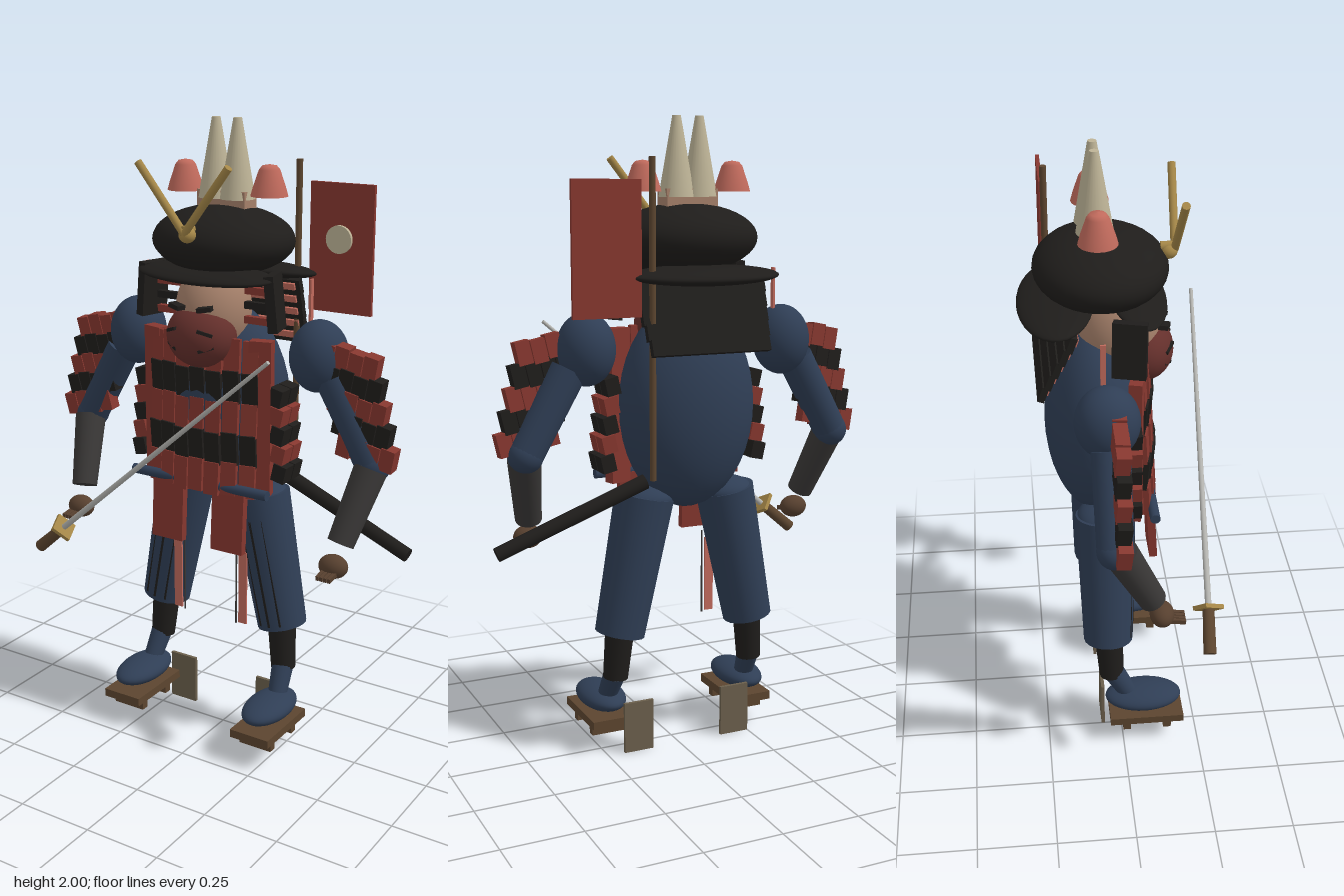
import * as THREE from 'three';

const C = { blue: 0x2f3e55, red: 0x86372f, black: 0x1f1d1b, wood: 0x5c452f, panel: 0x6b5f4c, skin: 0xa5806a,
  mask: 0x65302c, gold: 0xa58748, cream: 0xbdb396, coral: 0xc06a5c, glove: 0x3a3837, hand: 0x57402f, steel: 0xb4b4b0 };
const mats = {};
const mat = (c) => (mats[c] ??= new THREE.MeshStandardMaterial({ color: C[c] }));
const V = (a) => new THREE.Vector3(...a);

export function createModel() {
  const model = new THREE.Group();
  const body = new THREE.Group();
  body.name = 'body';
  body.position.x = -0.028;
  model.add(body);

  const add = (name, geo, color, pos, rot = [0, 0, 0], parent = body) => {
    const m = new THREE.Mesh(geo, mat(color));
    m.name = name;
    m.position.set(...pos);
    m.rotation.set(...rot);
    parent.add(m);
    return m;
  };
  const box = (name, color, pos, size, rot, parent) =>
    add(name, new THREE.BoxGeometry(...size), color, pos, rot, parent);
  const ball = (name, color, pos, r, rot) =>
    add(name, new THREE.SphereGeometry(1, 32, 20).scale(...r), color, pos, rot);
  // tapered rod from a to b
  const rod = (name, color, a, b, ra, rb = ra, parent = body) => {
    const d = V(b).sub(V(a));
    const m = add(name, new THREE.CylinderGeometry(rb, ra, d.length(), 20), color,
      V(a).add(V(b)).multiplyScalar(0.5).toArray(), [0, 0, 0], parent);
    m.quaternion.setFromUnitVectors(new THREE.Vector3(0, 1, 0), d.normalize());
    return m;
  };
  const rowColor = (i) => (i % 2 ? 'black' : 'red');

  // torso and belt
  ball('torso', 'blue', [0, 1.12, -0.055], [0.22, 0.325, 0.167]);
  rod('belt', 'blue', [-0.25, 0.89, 0.1], [0.25, 0.89, 0.1], 0.016);

  // chest armour: five overlapping rows of slats on a shallow arc
  for (let row = 0; row < 5; row++) {
    for (let i = -3; i <= 3; i++) {
      const x = i * 0.056;
      box('chestSlat', rowColor(row), [x, 1.31 - row * 0.097 - Math.abs(i % 2) * 0.006, 0.095 + row * 0.005 - x * x * 1.1],
        [0.051, 0.105, 0.018], [row % 2 ? 0.08 : -0.06, i * 0.08, 0]);
    }
  }

  // head and face mask
  ball('head', 'skin', [0, 1.43, 0.01], [0.115, 0.15, 0.125]);
  ball('faceMask', 'mask', [0, 1.36, 0.08], [0.113, 0.1, 0.095]);

  // helmet bowl with front visor and rear flange
  ball('helmetBowl', 'black', [0, 1.637, -0.045], [0.228, 0.106, 0.2]);
  ball('visor', 'black', [0, 1.545, 0.06], [0.24, 0.022, 0.09], [0.15, 0, 0]);
  ball('rearFlange', 'black', [0, 1.53, -0.18], [0.248, 0.028, 0.115], [-0.1, 0, 0]);
  for (let i = 0; i < 5; i++) {
    const y = 1.495 - i * 0.043, z = -0.145 - i * 0.021;
    box('neckGuardRow', 'black', [0, y, z], [0.44 - i * 0.012, 0.05, 0.02], [0.35, 0, 0]);
    box('neckGuardLining', 'coral', [0, y, z + 0.014], [0.41 - i * 0.012, 0.022, 0.008], [0.35, 0, 0]);
  }

  // crown of horns and gold crest
  box('crownBase', 'skin', [0, 1.755, -0.063], [0.17, 0.06, 0.07]);
  ball('crestKnob', 'gold', [0, 1.675, 0.155], [0.026, 0.024, 0.026]);
  rod('crestStem', 'gold', [0, 1.69, 0.13], [0, 1.69, 0.18], 0.014);

  for (const s of [-1, 1]) {
    const X = (x, y, z) => [s * x, y, z];

    // helmet side parts
    box('cheekFlap', 'black', X(0.222, 1.475, 0.02), [0.03, 0.17, 0.1], [0, s * 0.25, s * 0.1]);
    for (let i = 0; i < 3; i++)
      box('cheekLacing', rowColor(i), X(0.16, 1.5 - i * 0.045, 0.01), [0.09, 0.022, 0.02]);
    add('horn', new THREE.CylinderGeometry(0.013, 0.055, 0.24, 24), 'cream', X(0.038, 1.88, -0.063));
    const knob = [[0.057, 0], [0.05, 0.025], [0.032, 0.078], [0.022, 0.09], [0, 0.094]];
    add('sideKnob', new THREE.LatheGeometry(knob.map((p) => new THREE.Vector2(...p)), 24), 'coral', X(0.15, 1.775, -0.063))
      .material.side = THREE.DoubleSide;
    rod('crestProng', 'gold', X(0, 1.68, 0.172), X(0.157, 1.88, 0.178), 0.012);

    // mask markings
    box('eye', 'black', X(0.05, 1.455, 0.14), [0.045, 0.014, 0.03], [0, s * 0.3, s * 0.15]);
    for (let i = 0; i < 2; i++)
      box('maskSlit', 'black', X(0.058, 1.385 - i * 0.05, 0.153 - i * 0.006), [0.05, 0.01, 0.016],
        [0, s * 0.5, s * (i ? 0.3 : -0.3)]);

    // breastplate sides
    box('sidePanel', 'red', X(0.193, 1.115, 0.045), [0.07, 0.49, 0.04], [0, s * 0.25, 0]);
    for (let i = 0; i < 5; i++)
      for (let j = 0; j < 2; j++)
        box('flankSlat', rowColor(i + 1), X(0.245 + i * 0.004, 1.19 - i * 0.06, 0.03 - j * 0.055),
          [0.045, 0.055, 0.05], [0, 0, s * -0.22]);
    box('shoulderStrap', 'coral', X(0.3, 1.38, -0.063), [0.007, 0.32, 0.016]);
    box('frontTasset', 'red', X(0.112, 0.785, 0.1), [0.115, 0.21, 0.025], [-0.06, 0, 0]);

    // arm
    ball('shoulder', 'blue', X(0.335, 1.31, -0.055), [0.09, 0.112, 0.096]);
    rod('upperArm', 'blue', X(0.39, 1.25, -0.05), X(0.53, 1.0, -0.05), 0.058, 0.054);
    ball('elbow', 'blue', X(0.53, 1.0, -0.05), [0.055, 0.055, 0.055]);
    rod('forearm', 'glove', X(0.53, 0.99, -0.035), X(0.487, 0.775, 0.065), 0.052, 0.042);
    ball('hand', 'hand', X(0.48, 0.71, 0.095), [0.047, 0.037, 0.037]);
    for (let i = -1; i <= 2; i++)
      box('finger', 'hand', X(0.475 + i * 0.013, 0.695, 0.14), [0.01, 0.014, 0.05], [0.15, 0, 0]);

    // shoulder guard: stepped rows of slats
    for (let row = 0; row < 5; row++) {
      const g = new THREE.Group();
      g.name = 'shoulderGuardRow';
      g.position.set(s * (0.455 + row * 0.016), 1.315 - row * 0.068, -0.03);
      g.rotation.z = s * -0.2;
      body.add(g);
      for (let i = 0; i < 4; i++)
        box('guardSlat', rowColor(row), [(i - 1.5) * 0.048, (i % 2) * 0.006, 0],
          [0.045, 0.072, 0.042], [0.08, 0, 0], g);
    }

    // leg
    const thigh = rod('trouserLeg', 'blue', X(0.228, 0.4, -0.045), X(0.14, 0.84, -0.045), 0.08, 0.095);
    for (let i = -1; i <= 1; i++)
      box('pleat', 'black', [i * 0.035, -0.03, 0.081 - Math.abs(i) * 0.009], [0.008, 0.36, 0.012], [0.03, 0, 0], thigh);
    ball('hip', 'blue', X(0.14, 0.83, -0.045), [0.094, 0.05, 0.09]);
    box('legHanging', 'coral', X(0.125, 0.53, 0.035), [0.03, 0.25, 0.006]);
    rod('hangingCord', 'glove', X(0.1, 0.4, 0.035), X(0.1, 0.68, 0.035), 0.003);
    rod('shinGuard', 'black', X(0.24, 0.25, -0.035), X(0.225, 0.44, -0.045), 0.04, 0.048);
    rod('ankle', 'blue', X(0.25, 0.16, 0.025), X(0.241, 0.26, -0.03), 0.03, 0.036);
    ball('foot', 'blue', X(0.25, 0.156, 0.07), [0.073, 0.038, 0.127]);

    // wooden sandal with two teeth and an upright heel panel
    box('sandalBoard', 'wood', X(0.25, 0.098, 0.078), [0.14, 0.027, 0.245]);
    for (const z of [0.147, 0.012])
      box('sandalTooth', 'wood', X(0.25, 0.067, z), [0.115, 0.036, 0.026]);
    box('heelPanel', 'panel', X(0.172, 0.083, -0.063), [0.1, 0.166, 0.011]);
  }

  // drawn sword, guard and hilt
  const tip = [0.325, 1.365, 0.28], guard = [-0.468, 0.688, 0.243], pommel = [-0.575, 0.597, 0.235];
  rod('swordBlade', 'steel', guard, tip, 0.01, 0.006, model);
  rod('swordHilt', 'wood', pommel, guard, 0.02, 0.018, model);
  const plate = add('swordGuard', new THREE.BoxGeometry(0.068, 0.013, 0.068).rotateY(0.5), 'gold', guard, [0, 0, 0], model);
  plate.quaternion.setFromUnitVectors(new THREE.Vector3(0, 1, 0), V(tip).sub(V(guard)).normalize());

  // scabbard at the left hip
  rod('scabbard', 'black', [0.14, 0.9, -0.115], [0.612, 0.715, -0.09], 0.024, 0.022, model);

  // back banner
  rod('bannerPole', 'wood', [0.15, 0.92, -0.197], [0.15, 1.875, -0.197], 0.01, 0.01, model);
  box('banner', 'red', [0.297, 1.613, -0.204], [0.215, 0.396, 0.012], [0, 0, 0], model);
  add('bannerDisc', new THREE.CylinderGeometry(0.043, 0.043, 0.012, 32), 'cream', [0.293, 1.642, -0.193], [Math.PI / 2, 0, 0], model);

  return model;
}
